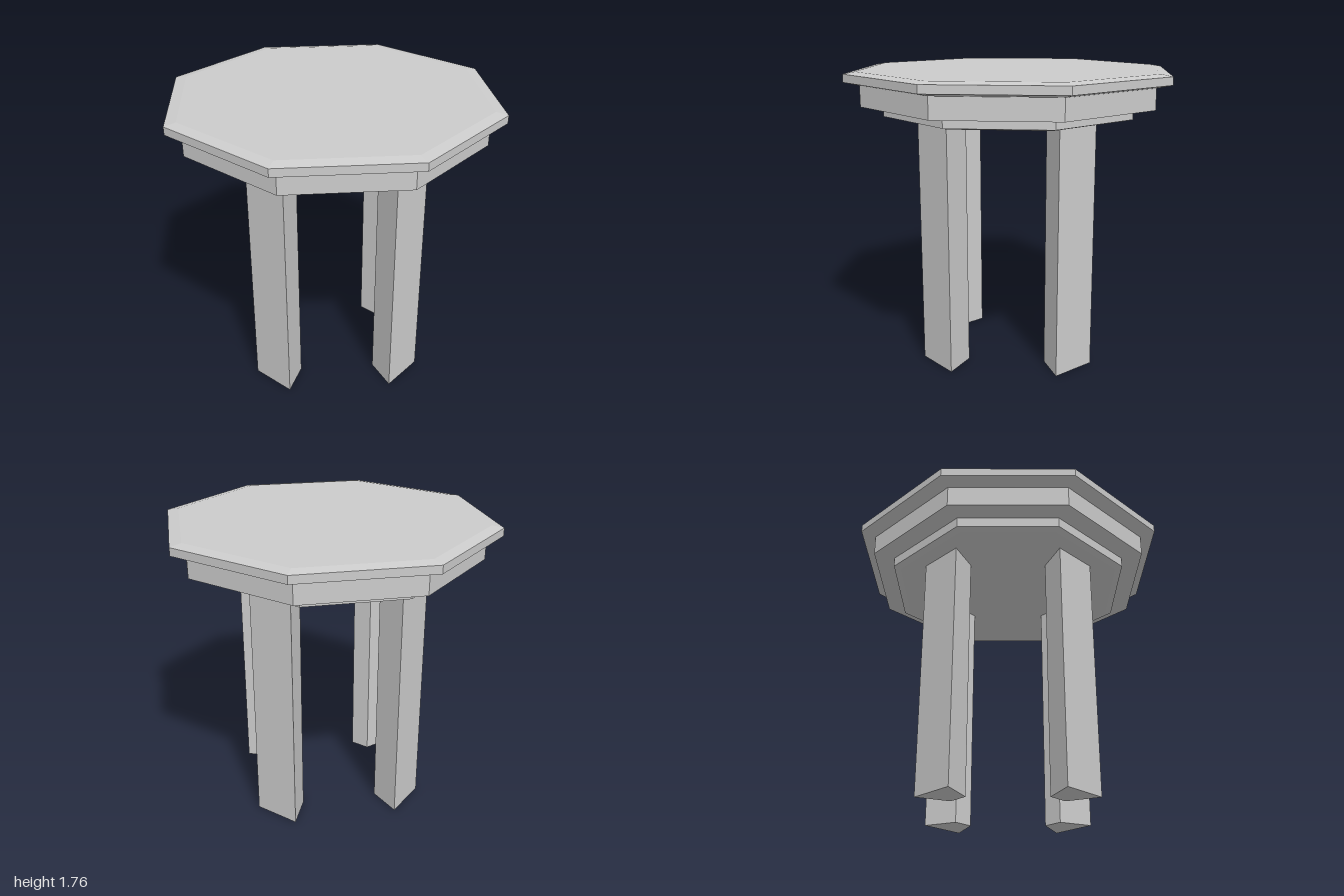
import * as THREE from 'three';

const material = new THREE.MeshStandardMaterial({ color: 0xcccccc, flatShading: true });

// Eight-sided tier turned from a [radius, height] profile, listed from the bottom up
function octagonTier(name, profile) {
  const points = profile.map(([r, y]) => new THREE.Vector2(r, y));
  const mesh = new THREE.Mesh(new THREE.LatheGeometry(points, 8).toNonIndexed(), material);
  mesh.geometry.computeVertexNormals();
  mesh.name = name;
  return mesh;
}

export function createModel() {
  const group = new THREE.Group();
  group.name = 'octagonalTable';

  // Table top with chamfered rims
  group.add(octagonTier('tableTop', [
    [0, 1.685], [0.92, 1.685], [1, 1.703], [1, 1.75], [0.93, 1.762], [0, 1.762],
  ]));

  // Straight apron under the top
  group.add(octagonTier('apron', [
    [0, 1.56], [0.908, 1.56], [0.908, 1.686], [0, 1.686],
  ]));

  // Smaller lower tier with a chamfered bottom edge
  group.add(octagonTier('lowerTier', [
    [0, 1.49], [0.735, 1.49], [0.777, 1.5], [0.777, 1.56], [0, 1.56],
  ]));

  // Wedge-shaped legs, wide face outward, each facing a side of the octagon
  const section = new THREE.Shape([
    new THREE.Vector2(0.39, -0.062),
    new THREE.Vector2(0.585, -0.142),
    new THREE.Vector2(0.585, 0.142),
    new THREE.Vector2(0.39, 0.062),
  ]);
  const legGeometry = new THREE.ExtrudeGeometry(section, { depth: 1.495, bevelEnabled: false });
  legGeometry.rotateX(-Math.PI / 2);
  for (let i = 0; i < 4; i++) {
    const leg = new THREE.Mesh(legGeometry, material);
    leg.name = `leg${i + 1}`;
    leg.rotation.y = Math.PI / 8 + (i * Math.PI) / 2;
    group.add(leg);
  }

  return group;
}
